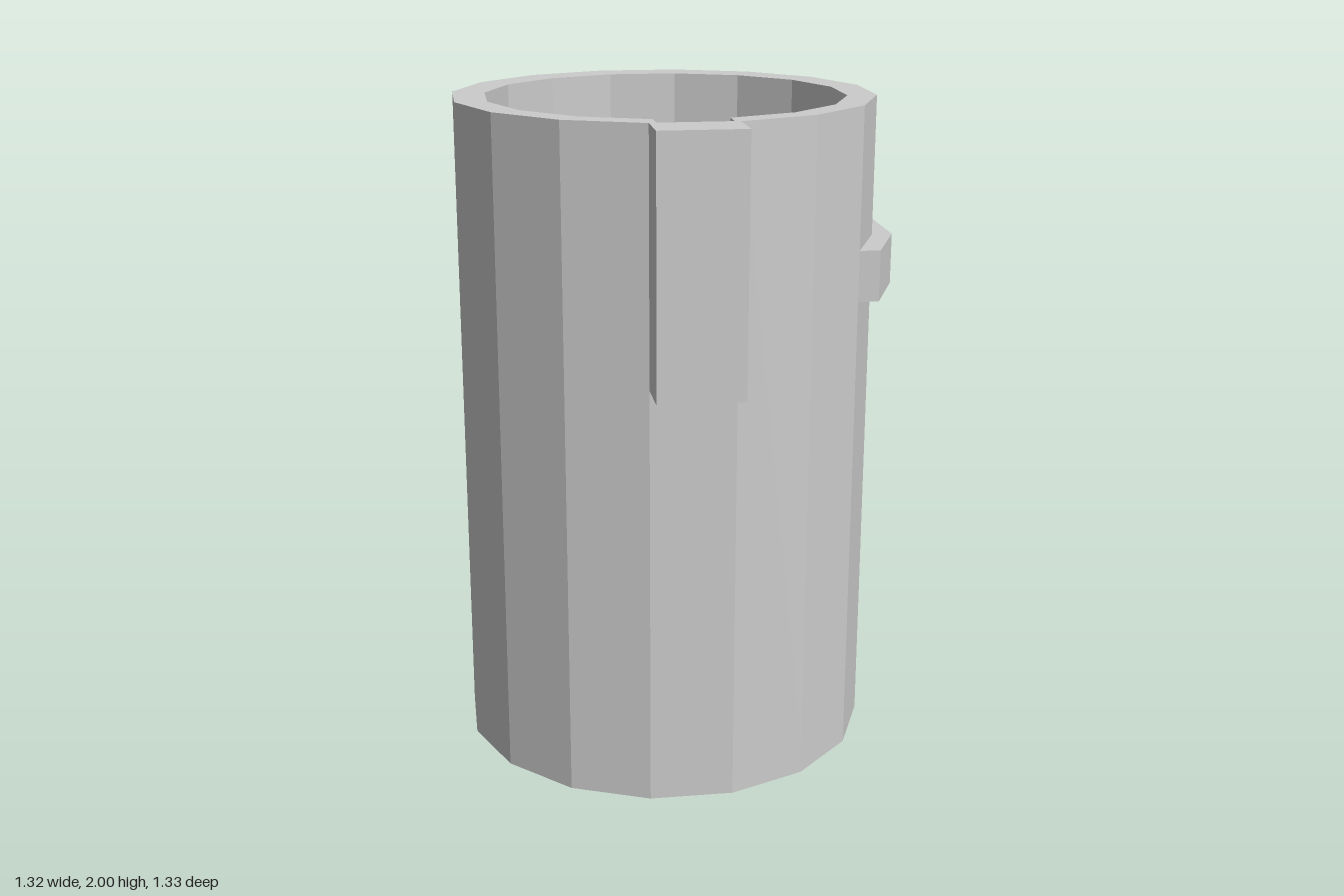
import * as THREE from 'three';

const material = new THREE.MeshStandardMaterial({ color: 0xcccccc, flatShading: true });
const SIDES = 16;
const WALL = { x: -0.027, z: -0.036, r: 0.632 };
const CAVITY = { x: -0.014, z: -0.02, r: 0.538 };
const HEIGHT = 2;
const FLOOR = 0.1;

// Corner i of a 16-sided ring, counted from +x towards +z, as [x, z]
function corner(ring, i) {
  const a = (i / SIDES) * Math.PI * 2;
  return [ring.x + ring.r * Math.cos(a), ring.z + ring.r * Math.sin(a)];
}

const corners = (ring) => Array.from({ length: SIDES }, (_, i) => corner(ring, i));

// Plan points as a counter-clockwise outline, so outer and hole walls face the right way
const toPlan = (points) => points.map(([x, z]) => new THREE.Vector2(x, -z)).reverse();

// Upright prism over a plan outline, with an optional hole
function prism(name, outline, y0, y1, hole) {
  const shape = new THREE.Shape(toPlan(outline));
  if (hole) shape.holes.push(new THREE.Path(toPlan(hole)));
  const geometry = new THREE.ExtrudeGeometry(shape, { depth: y1 - y0, bevelEnabled: false });
  geometry.rotateX(-Math.PI / 2).translate(0, y0, 0);
  const mesh = new THREE.Mesh(geometry, material);
  mesh.name = name;
  return mesh;
}

export function createModel() {
  const group = new THREE.Group();
  group.name = 'mug';

  // Wall around a cavity, with a channel behind the front block that leaves only a thin skin
  const cavity = corners(CAVITY);
  cavity.splice(3, 0, [0.403, 0.416], [0.23, 0.532]);
  group.add(prism('wall', corners(WALL), FLOOR, HEIGHT, cavity));

  // Closed base
  group.add(prism('base', corners(WALL), 0, FLOOR));

  // Raised block on the front left facet
  group.add(prism('frontBlock',
    [corner(WALL, 2), [0.499, 0.528], [0.294, 0.665], corner(WALL, 3)], 1.267, HEIGHT));

  // Low band wrapped over three facets at the back left
  const inner = [13, 14, 15, 16].map((i) => corner(WALL, i));
  const outer = [[0.657, -0.07], [0.608, -0.313], [0.472, -0.516], [0.267, -0.655]];
  group.add(prism('sideBand', [...inner, ...outer], 1.43, 1.582));

  return group;
}
